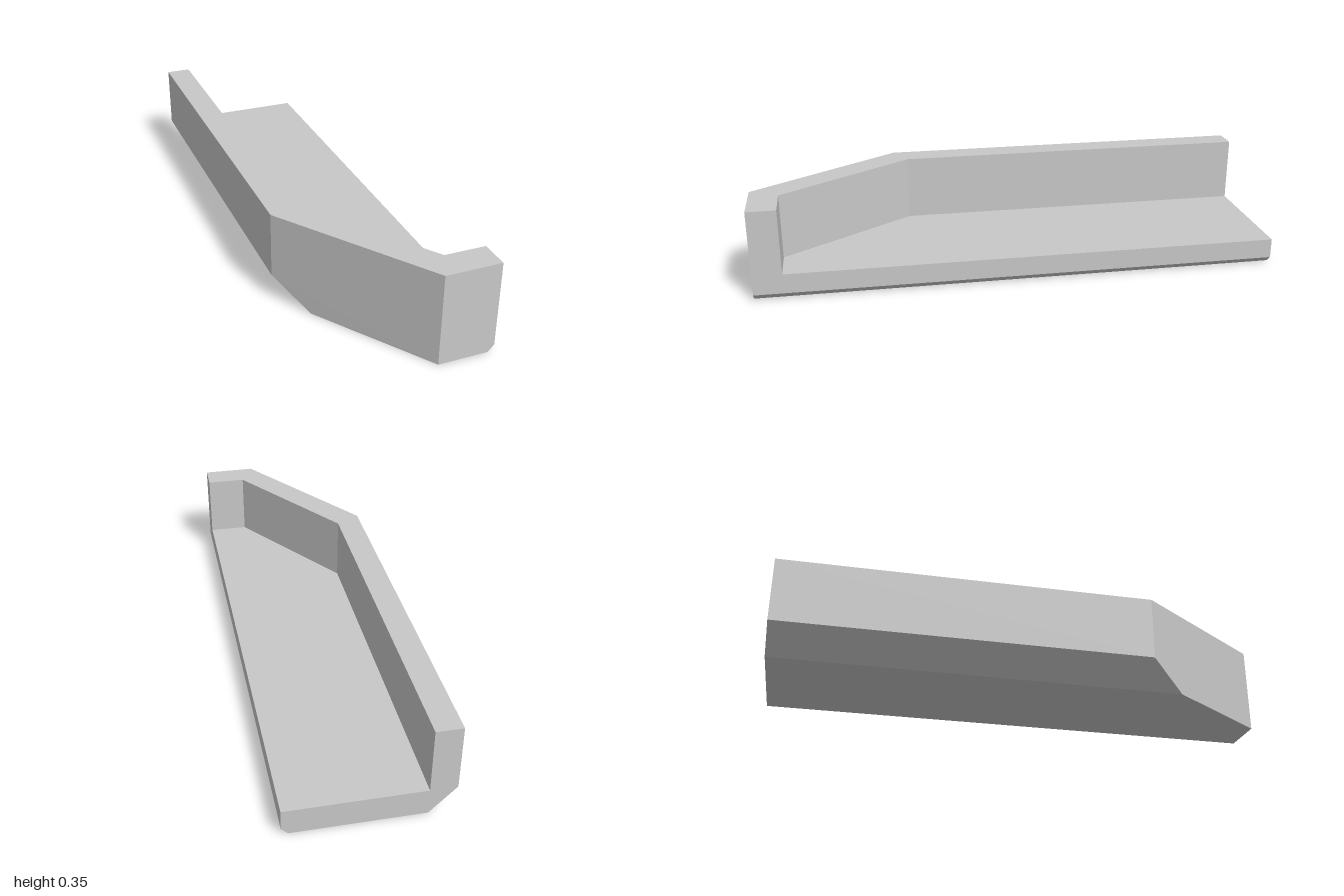
import * as THREE from 'three';
import { ConvexGeometry } from 'three/addons/geometries/ConvexGeometry.js';

const W = 0.297; // half width
const FLOOR = 0.1; // top of the floor slab
const HEIGHT = 0.35; // top of the wall

export function createModel() {
  const group = new THREE.Group();
  group.name = 'chamferedTray';
  const grey = new THREE.MeshStandardMaterial({ color: 0xc8c8c8 });
  grey.name = 'light grey';

  const add = (name, geometry) => {
    const mesh = new THREE.Mesh(geometry, grey);
    mesh.name = name;
    group.add(mesh);
  };

  // Floor slab: clipped front corner, wide chamfer at -x, small one at +x
  const ring = (y, corners) => corners.map(([x, z]) => new THREE.Vector3(x, y, z));
  add('floorSlab', new ConvexGeometry([
    ...ring(FLOOR, [[-W, -1], [-W, 0.44], [0.087, 1], [W, 1], [W, -1]]),
    ...ring(0.024, [[W, 1], [W, -1]]),
    ...ring(0, [[-0.2, -1], [-0.2, 0.581], [0.087, 1], [0.273, 1], [0.273, -1]]),
  ]));

  // Bent wall along the side, the slanted corner and the front
  const outline = [
    [-W, -1], [-W, 0.44], [0.087, 1], [W, 1],
    [W, 0.89], [0.142, 0.89], [-0.2, 0.388], [-0.2, -1],
  ].map(([x, z]) => new THREE.Vector2(x, -z));
  const wall = new THREE.ExtrudeGeometry(new THREE.Shape(outline), {
    depth: HEIGHT - FLOOR,
    bevelEnabled: false,
  });
  wall.rotateX(-Math.PI / 2).translate(0, FLOOR, 0);
  add('bentWall', wall);

  return group;
}
